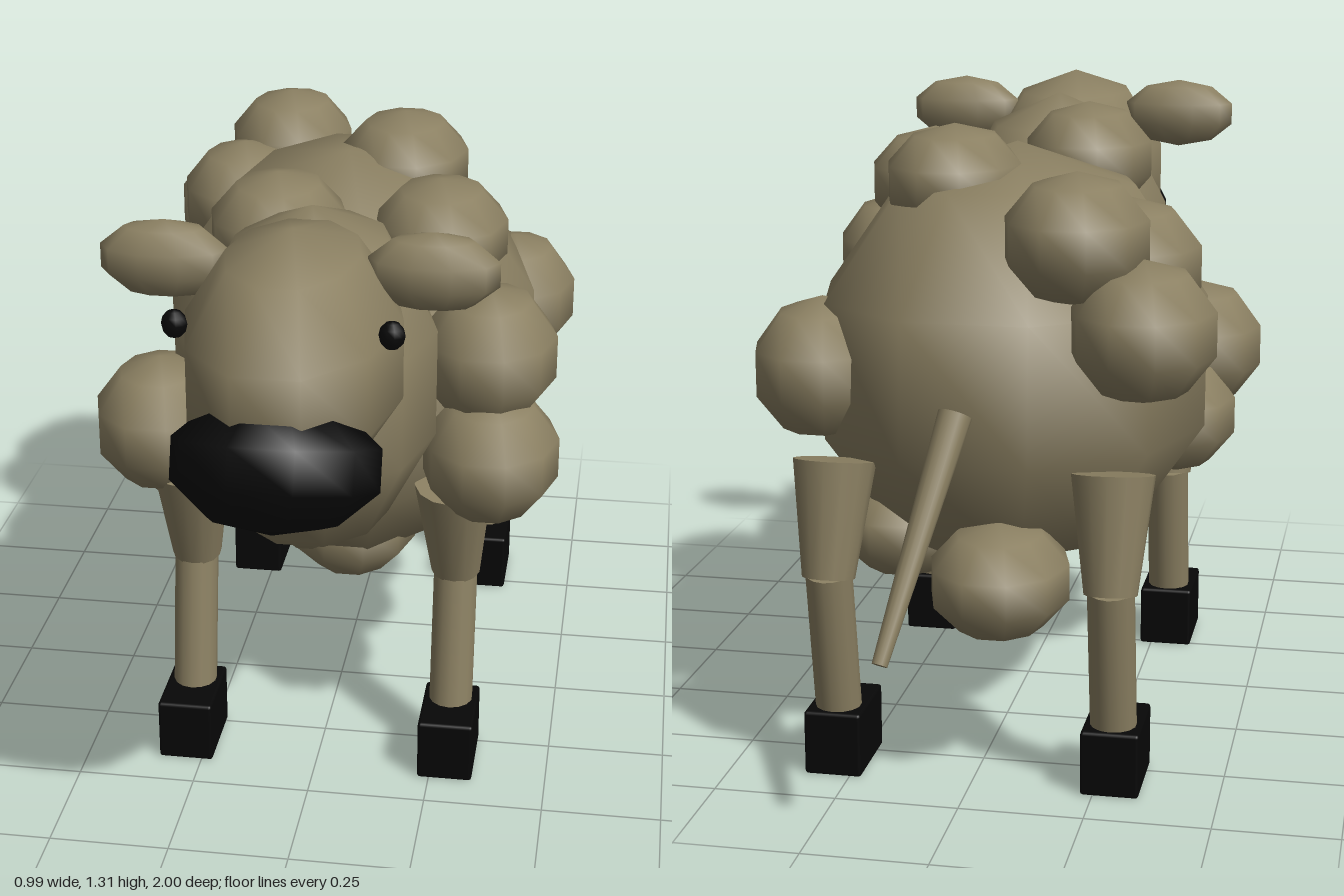
import * as THREE from 'three';
import { RoundedBoxGeometry } from 'three/addons/geometries/RoundedBoxGeometry.js';

const wool = new THREE.MeshStandardMaterial({ color: 0x8b8062 });
wool.name = 'wool tan';
const black = new THREE.MeshStandardMaterial({ color: 0x070707 });
black.name = 'soft black';

export function createModel() {
  const model = new THREE.Group();
  model.name = 'sheep';

  const add = (name, geometry, material, position) => {
    const mesh = new THREE.Mesh(geometry, material);
    mesh.name = name;
    mesh.position.set(...position);
    model.add(mesh);
    return mesh;
  };

  // Low-poly ellipsoid with its poles up and down
  const ellipsoid = (name, material, position, radii, rows = 5) =>
    add(name, new THREE.SphereGeometry(1, 10, rows).scale(...radii), material, position);

  // Tapered rod between two points
  const rod = (name, from, to, rFrom, rTo) => {
    const a = new THREE.Vector3(...from), b = new THREE.Vector3(...to);
    const dir = b.clone().sub(a);
    const mesh = add(name, new THREE.CylinderGeometry(rTo, rFrom, dir.length(), 14), wool,
      a.clone().add(b).multiplyScalar(0.5).toArray());
    mesh.quaternion.setFromUnitVectors(new THREE.Vector3(0, 1, 0), dir.normalize());
    return mesh;
  };

  // Body, neck and head
  ellipsoid('body', wool, [0, 0.785, -0.15], [0.43, 0.452, 0.583]).rotation.x = 0.06;
  ellipsoid('neck', wool, [0, 0.92, 0.39], [0.263, 0.362, 0.32]);
  ellipsoid('head', wool, [0, 1.06, 0.615], [0.22, 0.252, 0.342]);
  ellipsoid('muzzle', black, [0, 0.932, 0.835], [0.207, 0.132, 0.18]).rotation.x = -0.35;

  // Wool tufts: x, y, z, height radius
  const tufts = [
    [0.22, 1.12, 0.06, 0.12], [0.34, 0.92, 0.22, 0.147], [0.355, 0.725, 0.29, 0.138],
    [0.3, 0.6, -0.02, 0.135], [0.345, 0.805, -0.43, 0.148], [0.105, 1.17, -0.26, 0.118],
    [-0.2, 1.11, -0.56, 0.13], [-0.335, 0.94, -0.59, 0.14], [-0.28, 1.03, -0.38, 0.135],
    [-0.1, 1.16, 0.2, 0.125], [-0.35, 0.735, 0.24, 0.145], [-0.31, 0.61, 0.08, 0.13],
    [0.03, 0.42, 0.02, 0.118], [0.2, 0.45, -0.32, 0.11], [-0.05, 0.42, -0.57, 0.118],
  ];
  for (const [x, y, z, ry] of tufts) {
    ellipsoid('woolTuft', wool, [x, y, z], [0.148, ry, 0.176]);
  }

  for (const [side, label] of [[1, 'left'], [-1, 'right']]) {
    // Ears and eyes
    ellipsoid(label + 'Ear', wool, [side * 0.258, 1.22, 0.56], [0.132, 0.078, 0.068]);
    ellipsoid(label + 'Eye', black, [side * 0.202, 1.16, 0.74], [0.025, 0.028, 0.022], 6);

    // Bent legs on block hooves
    for (const [end, z] of [['Front', 0], ['Rear', -0.88]]) {
      const x = side * 0.284;
      rod(label + end + 'UpperLeg', [x, 0.425, z + 0.237], [x - side * 0.004, 0.655, z + 0.287], 0.053, 0.083);
      rod(label + end + 'LowerLeg', [x, 0.11, z + 0.296], [x, 0.435, z + 0.24], 0.047, 0.047);
      add(label + end + 'Hoof', new RoundedBoxGeometry(0.118, 0.135, 0.18, 2, 0.007), black,
        [x, 0.0675, z + 0.325]);
    }
  }

  // Hanging tail
  rod('tail', [0.093, 0.38, -0.98], [0, 0.8, -0.745], 0.015, 0.033);

  return model;
}
